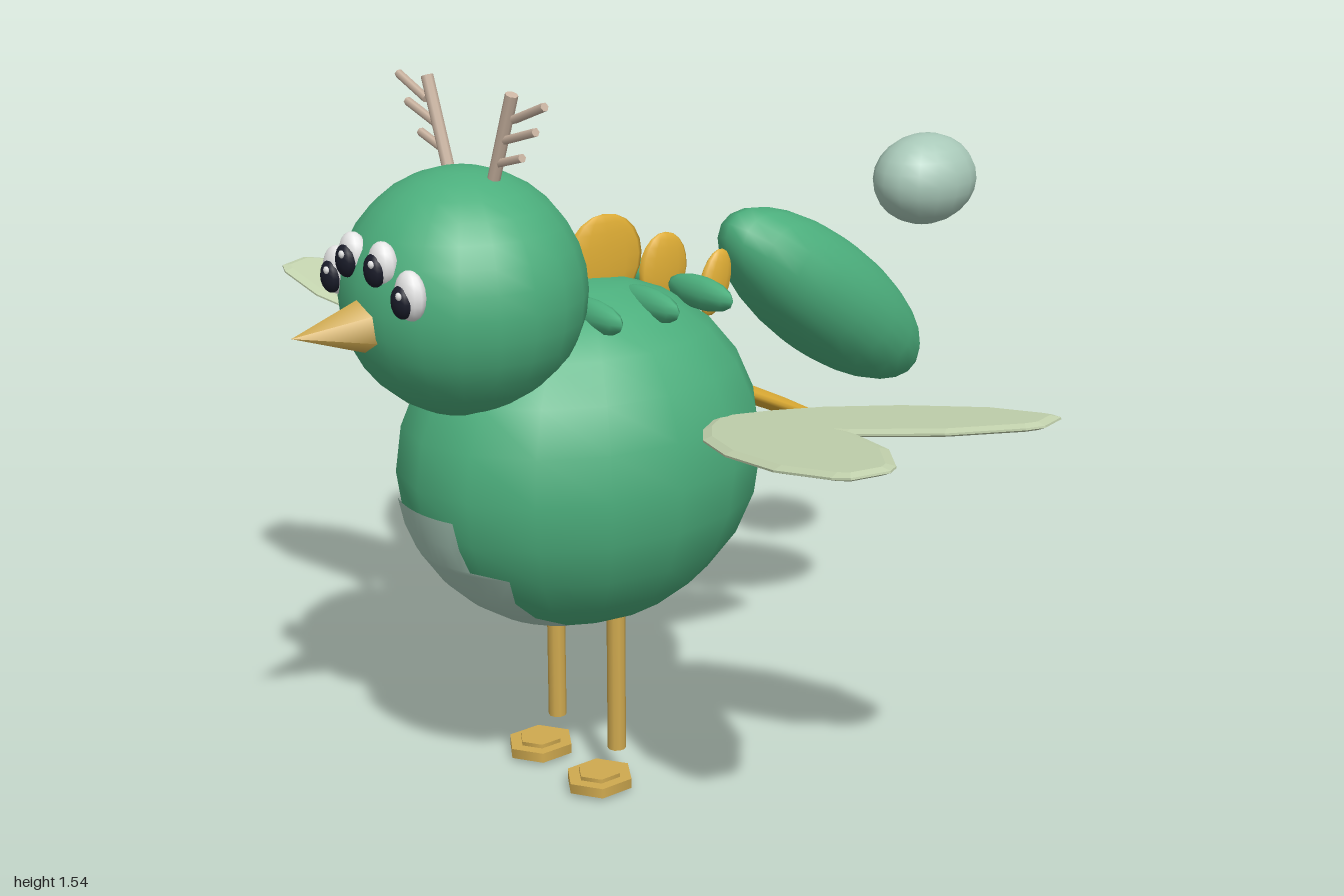
import * as THREE from 'three';

const mat = (name, color) => {
  const m = new THREE.MeshStandardMaterial({ color });
  m.name = name;
  return m;
};

export function createModel() {
  const green = mat('green', 0x4caf7d);
  const pale = mat('paleGreenGrey', 0xa9c9b9);
  const wingMat = mat('wingGreen', 0xc5d5b0);
  const gold = mat('gold', 0xcfa94f);
  const orange = mat('orange', 0xe0ae35);
  const antlerMat = mat('antlerTan', 0xcbb5a2);
  const white = mat('white', 0xe8e8e8);
  const dark = mat('dark', 0x1a1c2a);

  const root = new THREE.Group();
  root.name = 'bird';

  const add = (name, geometry, material, parent = root) => {
    const mesh = new THREE.Mesh(geometry, material);
    mesh.name = name;
    parent.add(mesh);
    return mesh;
  };
  // Ellipsoid from a centre and three radii
  const ball = (name, material, pos, radii, w = 16, h = 12, parent = root) => {
    const mesh = add(name, new THREE.SphereGeometry(1, w, h), material, parent);
    mesh.position.set(...pos);
    mesh.scale.set(...radii);
    return mesh;
  };
  // Round rod between two points
  const rod = (name, material, a, b, r, sides = 8) => {
    const p = new THREE.Vector3(...a), q = new THREE.Vector3(...b);
    const mesh = add(name, new THREE.CylinderGeometry(r, r, p.distanceTo(q), sides), material);
    mesh.position.copy(p).add(q).multiplyScalar(0.5);
    mesh.quaternion.setFromUnitVectors(new THREE.Vector3(0, 1, 0), q.sub(p).normalize());
    return mesh;
  };

  // Body and head
  const C = [0, 0.735, 0.225], R = [0.335, 0.375, 0.415];
  ball('body', green, C, R, 16, 12);
  ball('head', green, [0, 1.13, 0.515], [0.252, 0.25, 0.248], 20, 16);

  // Belly patch laid over the front of the body; rows are [height, half width]
  const rows = [[0.69, 0.1], [0.63, 0.1], [0.575, 0.1], [0.565, 0.168], [0.5, 0.14], [0.45, 0.13], [0.41, 0.13]];
  const patch = new THREE.PlaneGeometry(2, 1, 10, rows.length - 1);
  const pp = patch.attributes.position;
  for (let i = 0; i < pp.count; i++) {
    const [y, half] = rows[Math.floor(i / 11)];
    const x = pp.getX(i) * half;
    const k = 1 - (x / R[0]) ** 2 - ((y - C[1]) / R[1]) ** 2;
    pp.setXYZ(i, x, y, C[2] + R[2] * Math.sqrt(Math.max(k, 0)) + 0.006);
  }
  patch.computeVertexNormals();
  add('bellyPatch', patch, pale);

  // Beak
  const beak = add('beak', new THREE.ConeGeometry(0.06, 0.17, 6), gold);
  beak.rotation.x = Math.PI / 2;
  beak.position.set(0, 1.1, 0.822);

  // Tail with its floating ball
  ball('tail', green, [0, 0.957, -0.46], [0.143, 0.134, 0.347], 20, 14).rotation.x = -0.637;
  ball('tailBall', pale, [0, 1.185, -0.778], [0.106, 0.106, 0.134], 16, 12);

  // Flat tail feathers below the tail
  for (const i of [-1, 0, 1]) {
    const f = ball('tailFeather', orange, [i * 0.08, 0.8, -0.17], [0.055, 0.02, 0.33], 10, 8);
    f.rotation.set(-0.44, i * 0.14, 0);
  }

  // Spine plates: z, y, radius y, radius z, tilt
  for (const [z, y, ry, rz, tilt] of [
    [0.275, 1.1, 0.08, 0.04, 0.1], [0.163, 1.14, 0.095, 0.1, 0],
    [0.005, 1.095, 0.078, 0.065, -0.1], [-0.14, 1.04, 0.075, 0.042, -0.3],
  ]) ball('spinePlate', orange, [0, y, z], [0.015, ry, rz], 12, 10).rotation.x = tilt;

  for (const s of [-1, 1]) {
    // Back scales
    for (const z of [0.002, 0.145, 0.29])
      ball('backScale', green, [s * 0.12, 1.065, z], [0.105, 0.036, 0.028], 10, 8);

    // Two eyes on each side
    for (const [x, y, z, r] of [[0.13, 1.18, 0.722, 0.041], [0.053, 1.228, 0.732, 0.037]]) {
      ball('eyeWhite', white, [s * x, y, z], [r, r * 1.2, 0.026], 12, 10);
      ball('pupil', dark, [s * (x - 0.002), y - 0.01, z + 0.018], [0.029, 0.033, 0.018], 12, 10);
      ball('eyeGlint', white, [s * x + 0.011, y + 0.006, z + 0.033], [0.008, 0.008, 0.005], 8, 6);
    }

    // Antler: one stem and three twigs
    const z = 0.49;
    rod('antlerStem', antlerMat, [s * 0.07, 1.34, z], [s * 0.145, 1.537, z], 0.013);
    for (const [x0, y0, x1, y1] of [
      [0.15, 1.49, 0.25, 1.528], [0.12, 1.446, 0.22, 1.476], [0.09, 1.396, 0.175, 1.42],
    ]) rod('antlerTwig', antlerMat, [s * x0, y0, z], [s * x1, y1, z], 0.009, 6);

    // Leg and stepped hexagonal foot
    rod('leg', gold, [s * 0.108, 0.08, 0.222], [s * 0.108, 0.42, 0.222], 0.02, 10);
    for (const [h, rx, rz] of [[0.022, 0.072, 0.078], [0.04, 0.046, 0.05]]) {
      const foot = add('foot', new THREE.CylinderGeometry(1, 1, h, 6).toNonIndexed(), gold);
      foot.scale.set(rx, 1, rz);
      foot.position.set(s * 0.108, 0.02, 0.27);
    }
  }

  // Wing feather outline: distance from the root, half width
  const half = [[0, 0.02], [0.08, 0.072], [0.18, 0.11], [0.35, 0.13], [0.55, 0.114], [0.69, 0.062], [0.718, 0.038]];
  const outline = [
    ...half.map(([x, w]) => new THREE.Vector2(x, -w)),
    ...half.slice().reverse().map(([x, w]) => new THREE.Vector2(x, w)),
  ];
  const feather = new THREE.ExtrudeGeometry(new THREE.Shape(outline), {
    depth: 0.004, bevelThickness: 0.006, bevelSize: 0.018, bevelOffset: -0.018, bevelSegments: 1,
  });
  feather.translate(0, 0, -0.002).rotateX(Math.PI / 2);

  // Two feathers per wing, the second wing turned half round
  for (const s of [1, -1]) {
    const side = new THREE.Group();
    side.name = s > 0 ? 'leftWing' : 'rightWing';
    side.position.set(s * 0.315, 0.856, 0.105);
    side.rotation.y = s > 0 ? 0 : Math.PI;
    const lift = new THREE.Group();
    lift.name = 'wingFeathers';
    lift.rotation.z = 0.17;
    for (const turn of [-0.333, 0.333]) add('wingFeather', feather, wingMat, lift).rotation.y = turn;
    side.add(lift);
    root.add(side);
  }

  return root;
}
